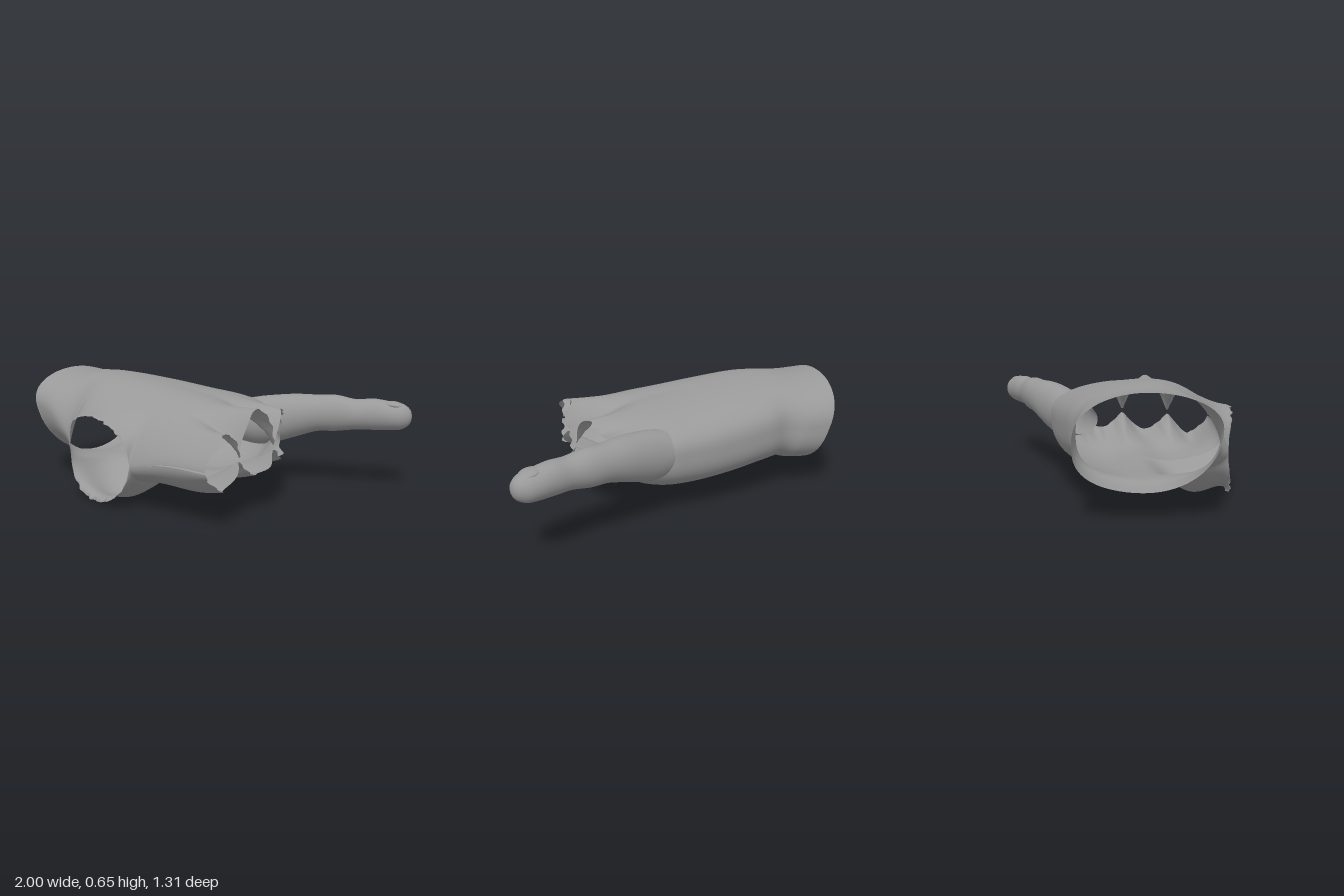
import * as THREE from 'three';
import { mergeVertices } from 'three/addons/utils/BufferGeometryUtils.js';

const { lerp, smoothstep, clamp } = THREE.MathUtils;
const skin = new THREE.MeshStandardMaterial({ color: 0x999999, side: THREE.DoubleSide });
const bell = (t, centre, width) => Math.exp(-(((t - centre) / width) ** 2));

// Smooth surface through a grid of points; point(i, j) gets 0..1 along and around
function loft(rows, cols, point) {
  const pos = [], index = [];
  for (let i = 0; i <= rows; i++)
    for (let j = 0; j <= cols; j++) pos.push(...point(i / rows, j / cols));
  for (let i = 0; i < rows; i++)
    for (let j = 0; j < cols; j++) {
      const a = i * (cols + 1) + j, b = a + cols + 1;
      index.push(a, b, a + 1, b, b + 1, a + 1);
    }
  let geo = new THREE.BufferGeometry();
  geo.setAttribute('position', new THREE.Float32BufferAttribute(pos, 3));
  geo.setIndex(index);
  geo = mergeVertices(geo, 1e-4);
  geo.computeVertexNormals();
  return geo;
}

// Smooth interpolation of a table whose first column is the parameter
function table(rows) {
  const f = new THREE.CubicInterpolant(rows.map(r => r[0]), rows.flatMap(r => r.slice(1)), rows[0].length - 1);
  return t => Array.from(f.evaluate(t));
}

// Palm sections: x, back z, front z, back y, top y, bottom y, front y
const palmAt = table([
  [-1.00, -0.28, 0.425, 0.42, 0.66, 0.15, 0.47],
  [-0.85, -0.27, 0.45, 0.42, 0.655, 0.16, 0.42],
  [-0.65, -0.25, 0.49, 0.42, 0.67, 0.175, 0.33],
  [-0.52, -0.285, 0.565, 0.42, 0.668, 0.165, 0.27],
  [-0.30, -0.325, 0.60, 0.40, 0.65, 0.135, 0.26],
  [-0.04, -0.355, 0.63, 0.39, 0.62, 0.115, 0.27],
  [0.10, -0.36, 0.637, 0.395, 0.605, 0.12, 0.30],
  [0.20, -0.335, 0.64, 0.40, 0.592, 0.135, 0.32],
  [0.32, -0.265, 0.645, 0.39, 0.582, 0.17, 0.33],
  [0.50, -0.18, 0.65, 0.36, 0.585, 0.235, 0.33],
]);
// Ragged finger ends: z, x
const endAt = table([[-0.4, 0.38], [-0.2, 0.4], [-0.1, 0.45], [0, 0.5], [0.1, 0.54],
  [0.2, 0.53], [0.3, 0.5], [0.4, 0.51], [0.55, 0.5], [0.7, 0.48]]);
const creases = [0.39, 0.1];

function palmPoint(u, v) {
  const x0 = lerp(-1.012, 0.5, u);
  const [zb, zf, yb, top, bottom, yf] = palmAt(x0);
  const isTop = v <= 0.5, a = 2 * Math.PI * v;
  const s = (1 - Math.cos(a)) / 2, bulge = Math.abs(Math.sin(a));
  const z = lerp(zf, zb, s);
  const tip = smoothstep(x0, 0.2, 0.5);

  // The front edge parts into two lips around the thumb opening
  const across = (x0 + 0.295) / 0.26;
  const open = Math.max(0, 1 - across * across);
  const spread = open ** ((isTop ? 0.38 : 0.5) + 4 * s) * Math.max(0, 1 - s / 0.3) ** 1.5;
  const lip = isTop ? 0.235 * (1 - 0.15 * across) : -0.19;
  const middle = lerp(yf, yb, s);

  // The back of the hand slopes towards the thumb; the underside is fuller at the back
  const slope = smoothstep(x0, -0.9, -0.6), toBack = smoothstep(s, 0.2, 0.8);
  const power = isTop ? lerp(0.9, lerp(1.4, 0.75, toBack), slope) : lerp(0.9, 0.68, toBack);
  let y = lerp(middle + lip * spread, isTop ? top : bottom, bulge ** power);

  // Thumb mound, hollow of the palm and rounded underside of the first finger
  if (!isTop) {
    y -= 0.14 * open * bell(z, 0.42, 0.17);
    y += 0.05 * smoothstep(x0, -0.7, -0.1) * (1 - tip) * bell(z, 0.15, 0.13);
    y -= 0.055 * smoothstep(x0, 0.05, 0.45) * bell(z, 0.53, 0.09);
  }

  // Creases divide the far end into three open finger stubs
  let pinch = 0;
  for (const c of creases) pinch = Math.max(pinch, Math.max(0, 1 - Math.hypot(z - c, 0.008) / 0.14) ** 1.7);
  const depth = clamp((x0 - 0.12) / 0.38, 0, 1) ** 2 + 0.04 * smoothstep(x0, -0.3, 0.2);
  y = lerp(y, middle, pinch * depth);

  // Slanted wrist rim, ragged finger rims and ragged thumb rim
  const wrist = 1 - smoothstep(x0, -1, -0.55);
  const rag = 0.01 * Math.sin(z * 47) + 0.008 * Math.sin(z * 91 + y * 40);
  const x = x0 + wrist * (0.17 * clamp((top - y) / (top - bottom), 0, 1) ** 1.25 + 0.04 * s)
    + tip * (endAt(z)[0] - 0.5 + rag);
  const lipRag = Math.max(0, 1 - s / 0.02) * Math.sqrt(open);
  return [x, y, z + lipRag * (0.006 * Math.sin(x0 * 83) + 0.005 * Math.sin(x0 * 137))];
}

// Little finger, rooted inside the palm: parameter, x, y, z, side radius, upright radius
const fingerAt = table([
  [0, -0.08, 0.39, -0.19, 0.10, 0.08],
  [0.12, 0.08, 0.395, -0.24, 0.11, 0.12],
  [0.21, 0.20, 0.40, -0.283, 0.113, 0.143],
  [0.27, 0.29, 0.415, -0.322, 0.112, 0.14],
  [0.33, 0.38, 0.435, -0.365, 0.108, 0.128],
  [0.42, 0.50, 0.455, -0.425, 0.092, 0.107],
  [0.50, 0.59, 0.46, -0.46, 0.086, 0.106],
  [0.63, 0.71, 0.46, -0.495, 0.08, 0.088],
  [0.73, 0.80, 0.465, -0.535, 0.079, 0.09],
  [0.84, 0.90, 0.46, -0.575, 0.078, 0.08],
  [0.91, 0.948, 0.46, -0.592, 0.069, 0.073],
  [0.96, 0.982, 0.46, -0.604, 0.045, 0.05],
  [0.985, 0.995, 0.46, -0.609, 0.026, 0.028],
  [1, 1.0, 0.46, -0.611, 0, 0],
]);

function fingerPoint(u, v) {
  const [x, y, z, rs, ru] = fingerAt(u);
  const a = 2 * Math.PI * v, c = Math.cos(a) * Math.max(0, rs);
  return [x + 0.39 * c, y + Math.sin(a) * Math.max(0, ru), z + 0.92 * c];
}

export function createModel() {
  const hand = new THREE.Group();
  hand.name = 'hollowHand';
  const add = (name, geo) => {
    const mesh = new THREE.Mesh(geo, skin);
    mesh.name = name;
    hand.add(mesh);
    return mesh;
  };

  add('palmShell', loft(180, 200, palmPoint));
  add('littleFinger', loft(70, 36, fingerPoint));

  // Fingernail set into the top of the little finger
  const nail = add('fingernail', new THREE.SphereGeometry(1, 24, 16));
  nail.scale.set(0.058, 0.018, 0.05);
  nail.position.set(0.905, 0.527, -0.572);
  nail.rotation.set(0, 0.39, -0.12);

  return hand;
}
